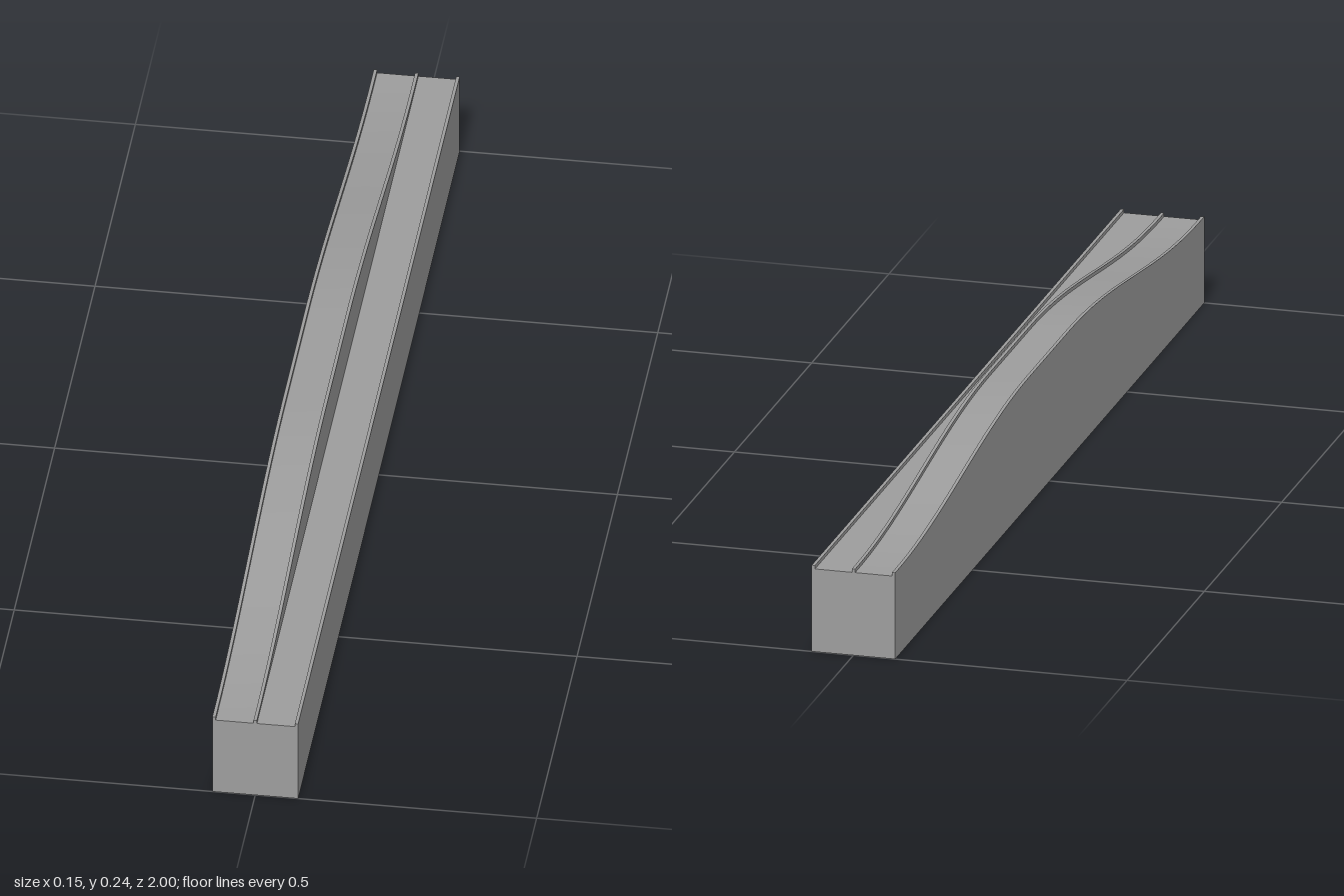
import * as THREE from 'three';
import { toCreasedNormals } from 'three/addons/utils/BufferGeometryUtils.js';

const W = 0.0763;     // half width
const MID = 0.003;    // inner side of the raised lane
const T = 0.006;      // curb thickness
const CURB = 0.0065;  // curb height
const DECK = 0.154;   // low deck height
const RISE = 0.077;   // hump height
const FLAT = 0.13, FOOT = 0.98; // end of the crest, foot of the ramp

const material = new THREE.MeshStandardMaterial({ color: 0x9d9d9d, side: THREE.DoubleSide });

// Height of the raised lane along z
function laneHeight(z) {
  const t = THREE.MathUtils.clamp((FOOT - Math.abs(z)) / (FOOT - FLAT), 0, 1);
  return DECK + RISE * (1 - Math.cos(Math.PI * t)) / 2;
}

// Stations along the length: level ends, curved ramps, level crest
const stations = [-1];
const STEPS = 24;
for (let i = 0; i <= STEPS; i++) stations.push(-FOOT + (FOOT - FLAT) * i / STEPS);
for (let i = 0; i <= STEPS; i++) stations.push(FLAT + (FOOT - FLAT) * i / STEPS);
stations.push(1);

// Sweeps an open cross-section, given from -x to +x, along the stations
function sweep(name, section) {
  const pos = [];
  for (let s = 0; s < stations.length - 1; s++) {
    const z0 = stations[s], z1 = stations[s + 1];
    const p = section(laneHeight(z0)), q = section(laneHeight(z1));
    for (let i = 0; i < p.length - 1; i++) {
      const a = [...p[i], z0], b = [...p[i + 1], z0];
      const c = [...q[i], z1], d = [...q[i + 1], z1];
      pos.push(...a, ...c, ...b, ...b, ...c, ...d);
    }
  }
  const geometry = new THREE.BufferGeometry();
  geometry.setAttribute('position', new THREE.Float32BufferAttribute(pos, 3));
  const mesh = new THREE.Mesh(toCreasedNormals(geometry, 0.5), material);
  mesh.name = name;
  return mesh;
}

// Three-sided curb section standing on height h
const curb = (x, h) => [[x, h], [x, h + CURB], [x + T, h + CURB], [x + T, h]];

export function createModel() {
  const group = new THREE.Group();
  group.name = 'humpedTrack';

  // Side walls and the wall between the lanes
  group.add(
    sweep('raisedSideWall', h => [[-W, 0], [-W, h]]),
    sweep('lowSideWall', () => [[W, DECK], [W, 0]]),
    sweep('middleWall', h => [[MID, h], [MID, DECK]]),
  );

  // Decks
  group.add(
    sweep('raisedDeck', h => [[-W + T, h], [MID - T, h]]),
    sweep('lowDeck', () => [[MID, DECK], [W - T, DECK]]),
  );

  // Curbs
  group.add(
    sweep('raisedOuterCurb', h => curb(-W, h)),
    sweep('raisedInnerCurb', h => curb(MID - T, h)),
    sweep('lowOuterCurb', () => curb(W - T, DECK)),
  );

  // End walls, closed up to the curbs; the underside is open
  const outline = [[-W, 0], ...curb(-W, DECK), ...curb(MID - T, DECK), ...curb(W - T, DECK), [W, 0]];
  const end = new THREE.ShapeGeometry(new THREE.Shape(outline.map(([x, y]) => new THREE.Vector2(x, y))));
  for (const side of [1, -1]) {
    const wall = new THREE.Mesh(end.clone(), material);
    if (side < 0) {
      // Reverse the faces so the back end faces outward
      const index = wall.geometry.index.array;
      for (let i = 0; i < index.length; i += 3) [index[i], index[i + 1]] = [index[i + 1], index[i]];
      wall.geometry.computeVertexNormals();
    }
    wall.position.z = side;
    wall.name = side > 0 ? 'frontEndWall' : 'backEndWall';
    group.add(wall);
  }
  return group;
}
